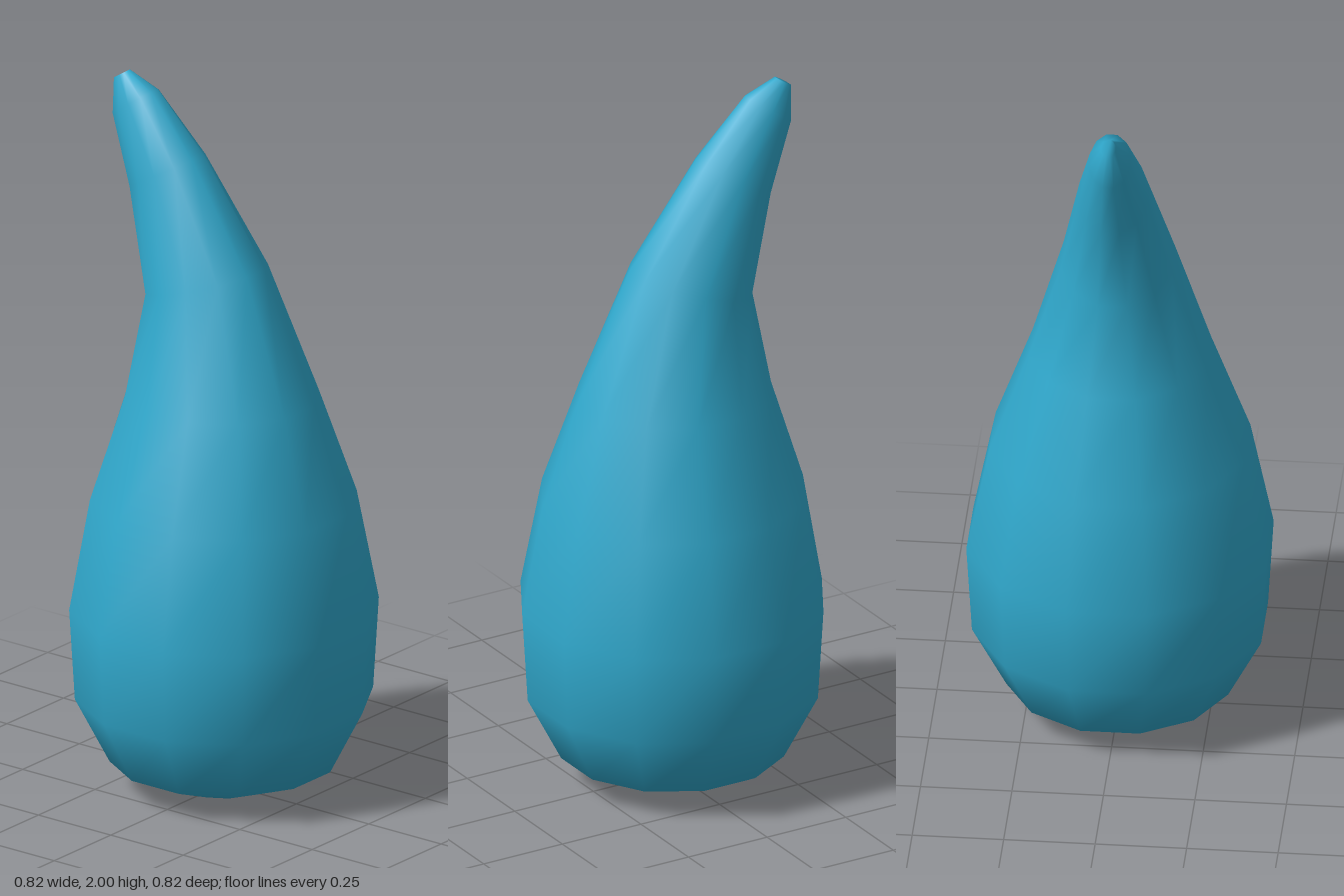
import * as THREE from 'three';

// Each ring: left x, left y, right x, right y, half depth in z
const RINGS = [
  [-0.11, 0, 0.11, 0, 0.11],
  [-0.303, 0.08, 0.303, 0.08, 0.303],
  [-0.395, 0.265, 0.395, 0.265, 0.395],
  [-0.41, 0.525, 0.41, 0.525, 0.41],
  [-0.36, 0.84, 0.355, 0.84, 0.348],
  [-0.275, 1.13, 0.26, 1.14, 0.243],
  [-0.23, 1.4, 0.11, 1.51, 0.152],
  [-0.3, 1.68, -0.09, 1.8, 0.095],
  [-0.37, 1.87, -0.24, 1.96, 0.056],
  [-0.375, 1.97, -0.33, 2, 0.02],
];
const SIDES = 12;

// Skin twelve-sided, tilted rings into one closed smooth surface
function hornGeometry() {
  const pos = [], index = [];
  const reach = Math.cos(Math.PI / SIDES);
  for (const [lx, ly, rx, ry, depth] of RINGS) {
    for (let i = 0; i < SIDES; i++) {
      const t = ((i + 0.5) / SIDES) * Math.PI * 2;
      const c = Math.cos(t) / reach / 2;
      pos.push(
        (lx + rx) / 2 + (rx - lx) * c,
        (ly + ry) / 2 + (ry - ly) * c,
        (depth * Math.sin(t)) / reach
      );
    }
  }
  const last = (RINGS.length - 1) * SIDES;
  for (let i = 0; i < SIDES; i++) {
    const j = (i + 1) % SIDES;
    for (let r = 0; r < last; r += SIDES) {
      const a = r + i, b = r + j;
      index.push(a, a + SIDES, b, b, a + SIDES, b + SIDES);
    }
    // end caps
    if (i > 0 && i < SIDES - 1) {
      index.push(0, i, j);
      index.push(last, last + j, last + i);
    }
  }
  const geo = new THREE.BufferGeometry();
  geo.setAttribute('position', new THREE.Float32BufferAttribute(pos, 3));
  geo.setIndex(index);
  geo.computeVertexNormals();
  return geo;
}

export function createModel() {
  const group = new THREE.Group();
  const horn = new THREE.Mesh(
    hornGeometry(),
    new THREE.MeshStandardMaterial({ color: 0x30a8cc })
  );
  horn.name = 'curvedHorn';
  group.add(horn);
  return group;
}
